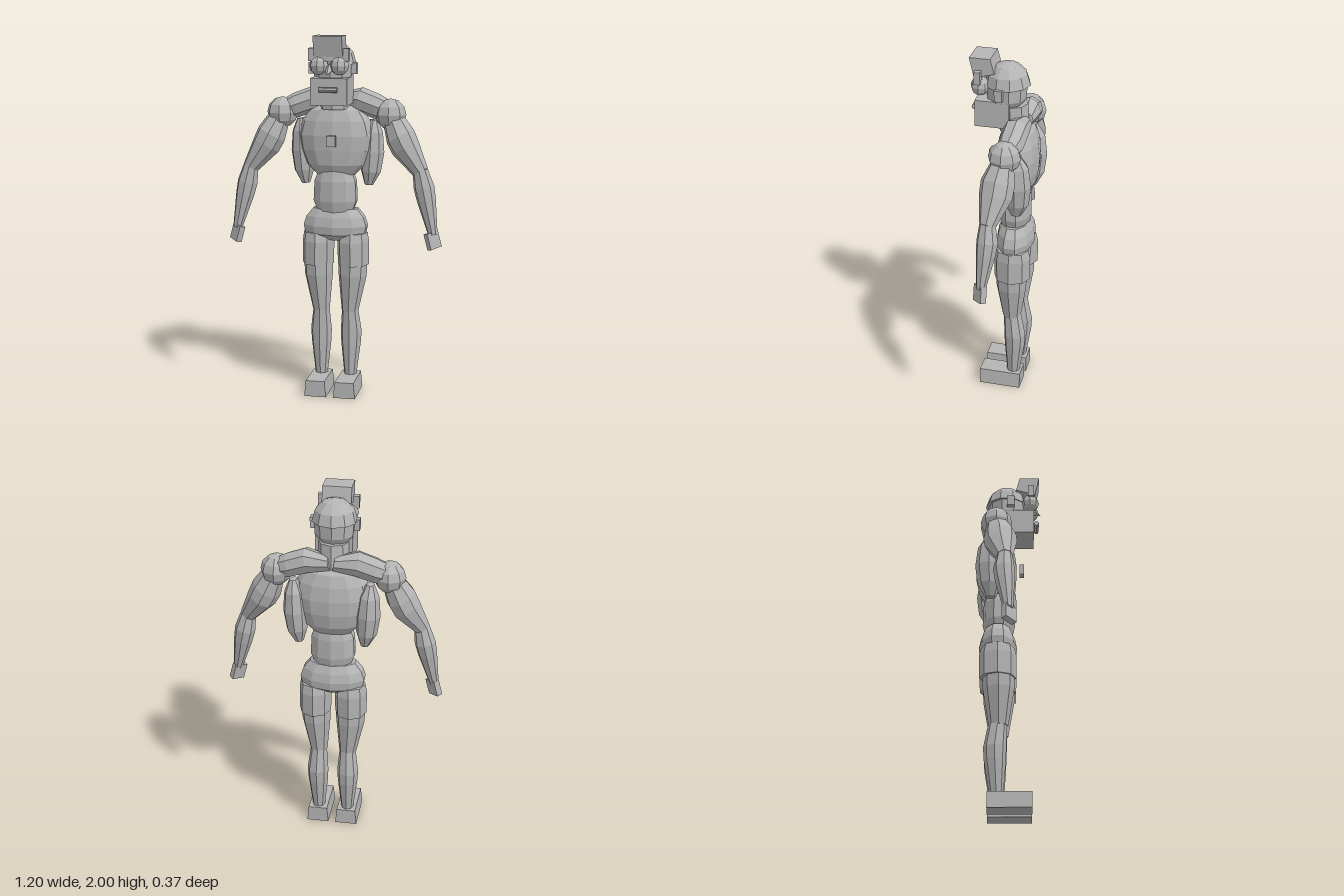
import * as THREE from 'three';

export function createModel() {
  const model = new THREE.Group();
  model.name = 'figure';
  const grey = new THREE.MeshStandardMaterial({ color: 0xb4b4b4 });
  grey.name = 'grey';
  grey.flatShading = true;

  const add = (name, geo, x = 0, y = 0, z = 0) => {
    const mesh = new THREE.Mesh(geo, grey);
    mesh.name = name;
    mesh.position.set(x, y, z);
    model.add(mesh);
    return mesh;
  };
  const box = (name, w, h, d, x, y, z) => add(name, new THREE.BoxGeometry(w, h, d), x, y, z);

  // Faceted tube through rings [x, y, z, radius, depthRadius], listed from the top down
  const loft = (name, rings, sides = 8) => {
    const n = rings.length - 1;
    const geo = new THREE.CylinderGeometry(1, 1, 1, sides, n);
    const centres = rings.map((r) => new THREE.Vector3(r[0], r[1], r[2]));
    const axis = centres[0].clone().sub(centres[n]).normalize();
    const turn = new THREE.Quaternion().setFromUnitVectors(new THREE.Vector3(0, 1, 0), axis);
    const pos = geo.attributes.position;
    const v = new THREE.Vector3();
    for (let i = 0; i < pos.count; i++) {
      const k = Math.round((0.5 - pos.getY(i)) * n);
      const [, , , r, d = r] = rings[k];
      v.set(pos.getX(i) * r, 0, pos.getZ(i) * d).applyQuaternion(turn).add(centres[k]);
      pos.setXYZ(i, v.x, v.y, v.z);
    }
    geo.computeVertexNormals();
    return add(name, geo);
  };

  // Torso
  loft('chest', [
    [0, 1.62, -0.07, 0.09, 0.05], [0, 1.59, -0.07, 0.15, 0.085], [0, 1.53, -0.07, 0.19, 0.105],
    [0, 1.45, -0.07, 0.212, 0.115], [0, 1.37, -0.07, 0.2, 0.112], [0, 1.29, -0.065, 0.165, 0.1],
    [0, 1.235, -0.06, 0.11, 0.07],
  ], 12);
  loft('waist', [
    [0, 1.26, -0.055, 0.095, 0.075], [0, 1.2, -0.055, 0.12, 0.088],
    [0, 1.09, -0.055, 0.125, 0.09], [0, 1.02, -0.055, 0.1, 0.075],
  ], 10);
  loft('pelvis', [
    [0, 1.045, -0.06, 0.13, 0.075], [0, 1.0, -0.06, 0.168, 0.095], [0, 0.95, -0.06, 0.185, 0.105],
    [0, 0.905, -0.06, 0.175, 0.1], [0, 0.87, -0.06, 0.05, 0.06],
  ], 10);
  box('chestBadge', 0.05, 0.06, 0.025, 0, 1.432, 0.073);

  // Head
  loft('neck', [[0, 1.74, -0.04, 0.08], [0, 1.6, -0.045, 0.085]], 8);
  loft('skull', [
    [0, 1.93, -0.005, 0.07], [0, 1.86, -0.005, 0.112], [0, 1.77, -0.005, 0.106], [0, 1.69, -0.01, 0.05],
  ], 10);
  loft('cap', [
    [0, 1.965, -0.01, 0.004], [0, 1.948, -0.01, 0.062],
    [0, 1.905, -0.01, 0.104], [0, 1.845, -0.012, 0.121],
  ], 10);
  box('jaw', 0.2, 0.145, 0.183, 0, 1.703, 0.051);
  const mouth = add('mouth', new THREE.CylinderGeometry(0.014, 0.014, 0.1, 8), 0, 1.716, 0.158);
  mouth.rotation.z = Math.PI / 2;
  const nose = add('nose', new THREE.ConeGeometry(0.028, 0.075, 4), 0, 1.81, 0.15);
  nose.rotation.x = 2.0;
  box('browBand', 0.22, 0.068, 0.033, 0, 1.9, 0.127);

  // Slanted block on the brow, extruded from its side profile
  const profile = new THREE.Shape(
    [[-0.175, 2.0], [-0.15, 1.89], [-0.042, 1.92], [-0.063, 2.0]].map((p) => new THREE.Vector2(...p)),
  );
  const block = new THREE.ExtrudeGeometry(profile, { depth: 0.156, bevelEnabled: false });
  block.translate(0, 0, -0.078).rotateY(Math.PI / 2);
  add('browBlock', block);

  // Paired parts
  for (const [side, s] of [['left', 1], ['right', -1]]) {
    add(side + 'Eye', new THREE.SphereGeometry(0.051, 8, 6), s * 0.056, 1.842, 0.122);
    box(side + 'Ear', 0.035, 0.06, 0.042, s * 0.114, 1.822, 0.01);

    loft(side + 'Trapezius', [
      [s * 0.01, 1.64, -0.105, 0.04], [s * 0.13, 1.643, -0.088, 0.07],
      [s * 0.23, 1.607, -0.082, 0.068], [s * 0.31, 1.58, -0.07, 0.05],
    ]);
    loft(side + 'Lat', [
      [s * 0.205, 1.535, -0.1, 0.022, 0.028], [s * 0.2, 1.47, -0.105, 0.054, 0.065],
      [s * 0.196, 1.36, -0.108, 0.066, 0.076], [s * 0.188, 1.25, -0.105, 0.056, 0.066],
      [s * 0.178, 1.175, -0.1, 0.024, 0.03],
    ]);

    // Arm
    add(side + 'Shoulder', new THREE.SphereGeometry(0.086, 8, 6), s * 0.302, 1.57, -0.067);
    loft(side + 'UpperArm', [
      [s * 0.315, 1.545, -0.062, 0.06], [s * 0.36, 1.45, -0.047, 0.083, 0.09],
      [s * 0.39, 1.39, -0.043, 0.08, 0.088], [s * 0.475, 1.265, -0.022, 0.045],
    ]);
    loft(side + 'Forearm', [
      [s * 0.473, 1.275, -0.022, 0.042], [s * 0.495, 1.18, -0.025, 0.057],
      [s * 0.51, 1.11, -0.02, 0.052], [s * 0.55, 0.925, -0.003, 0.026],
    ]);
    const hand = box(side + 'Hand', 0.075, 0.09, 0.034, s * 0.55, 0.895, 0.002);
    hand.rotation.set(0, s * Math.PI / 4, s * 0.26, 'ZYX');

    // Leg
    loft(side + 'ShortsLeg', [
      [s * 0.098, 0.91, -0.06, 0.082, 0.09], [s * 0.098, 0.86, -0.06, 0.09, 0.102],
      [s * 0.1, 0.73, -0.06, 0.088, 0.1],
    ]);
    loft(side + 'Thigh', [
      [s * 0.098, 0.76, -0.055, 0.083, 0.087], [s * 0.096, 0.67, -0.055, 0.08, 0.085],
      [s * 0.082, 0.465, -0.055, 0.048, 0.052],
    ]);
    loft(side + 'Shin', [
      [s * 0.082, 0.48, -0.058, 0.045, 0.05], [s * 0.086, 0.34, -0.074, 0.06, 0.061],
      [s * 0.085, 0.27, -0.073, 0.056, 0.058], [s * 0.083, 0.08, -0.065, 0.034, 0.036],
    ]);
    // Foot narrows slightly towards the top
    const foot = new THREE.BoxGeometry(0.123, 0.09, 0.235);
    const p = foot.attributes.position;
    for (let i = 0; i < p.count; i++) if (p.getY(i) > 0) p.setX(i, p.getX(i) * 0.86);
    foot.computeVertexNormals();
    add(side + 'Foot', foot, s * 0.082, 0.045, 0.003);
  }
  return model;
}
